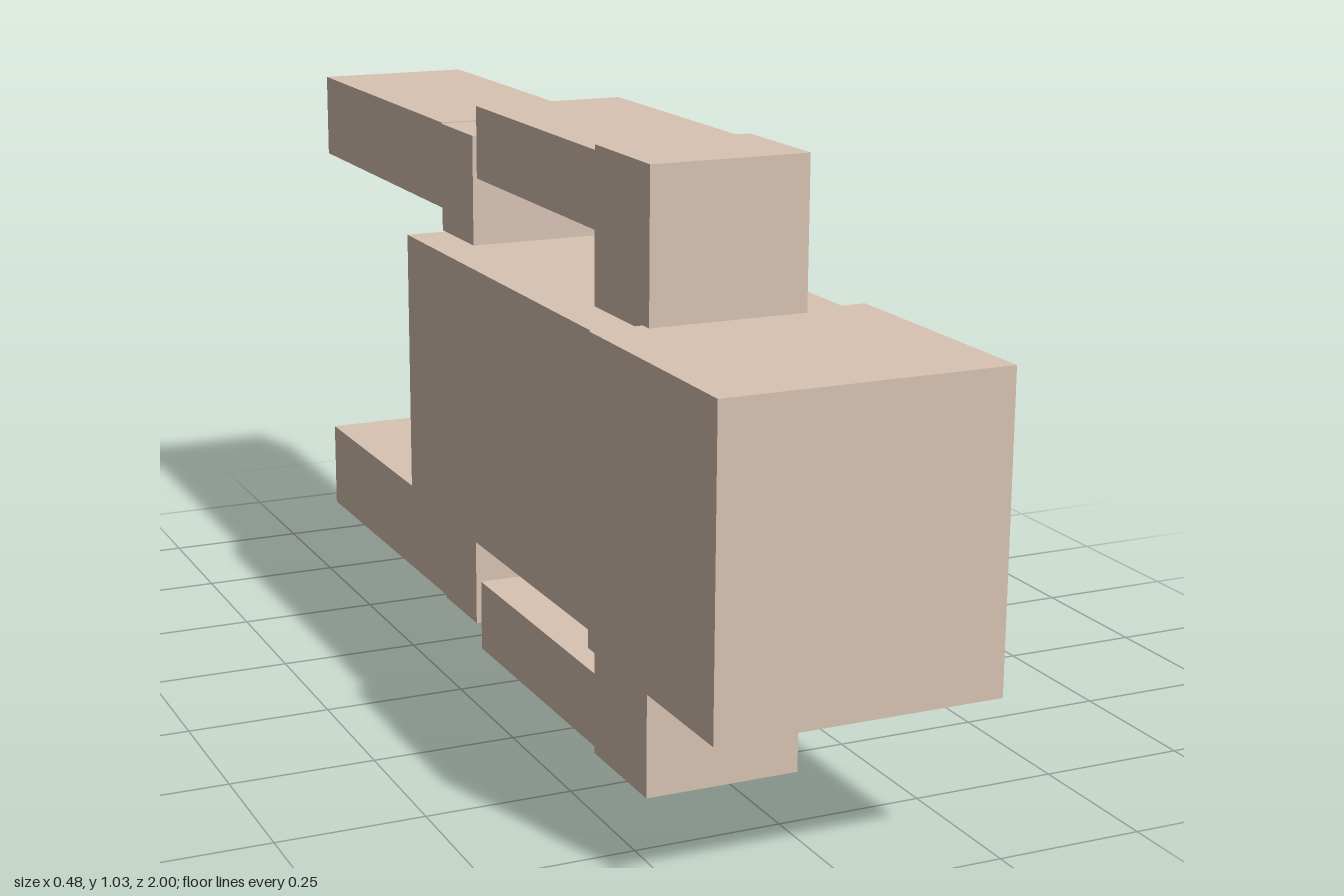
import * as THREE from 'three';

const material = new THREE.MeshStandardMaterial({ color: 0xd8c3b3, flatShading: true });

// Box given by its min/max extents on each axis
function block(name, [x0, x1], [y0, y1], [z0, z1]) {
  const mesh = new THREE.Mesh(new THREE.BoxGeometry(x1 - x0, y1 - y0, z1 - z0), material);
  mesh.position.set((x0 + x1) / 2, (y0 + y1) / 2, (z0 + z1) / 2);
  mesh.name = name;
  return mesh;
}

// L-shaped limb: a short upright joined to the body and a long bar running backward
function limb(name, x, uprightY, uprightZ, barY, barZ) {
  const group = new THREE.Group();
  group.name = name;
  group.add(block(name + 'Upright', x, uprightY, uprightZ), block(name + 'Bar', x, barY, barZ));
  return group;
}

export function createModel() {
  const model = new THREE.Group();
  model.name = 'blockFigure';

  // Head and body
  model.add(
    block('head', [-0.242, 0.242], [0.263, 0.778], [0.553, 1]),
    block('body', [-0.221, 0.221], [0.275, 0.768], [-0.324, 0.545]),
  );

  // Front limbs, above and below the body
  const frontX = [-0.15, 0.125];
  model.add(
    limb('upperFrontLimb', frontX, [0.77, 1.033], [0.368, 0.576], [0.895, 1.024], [-0.152, 0.368]),
    limb('lowerFrontLimb', frontX, [0, 0.271], [0.368, 0.576], [0.012, 0.142], [-0.152, 0.368]),
  );

  // Rear limbs, reaching behind the body
  model.add(
    limb('upperRearLimb', [-0.15, 0.139], [0.77, 0.968], [-0.329, -0.172], [0.812, 0.97], [-1, -0.329]),
    limb('lowerRearLimb', [-0.152, 0.136], [0.055, 0.271], [-0.331, -0.172], [0.06, 0.227], [-1, -0.331]),
  );
  return model;
}
